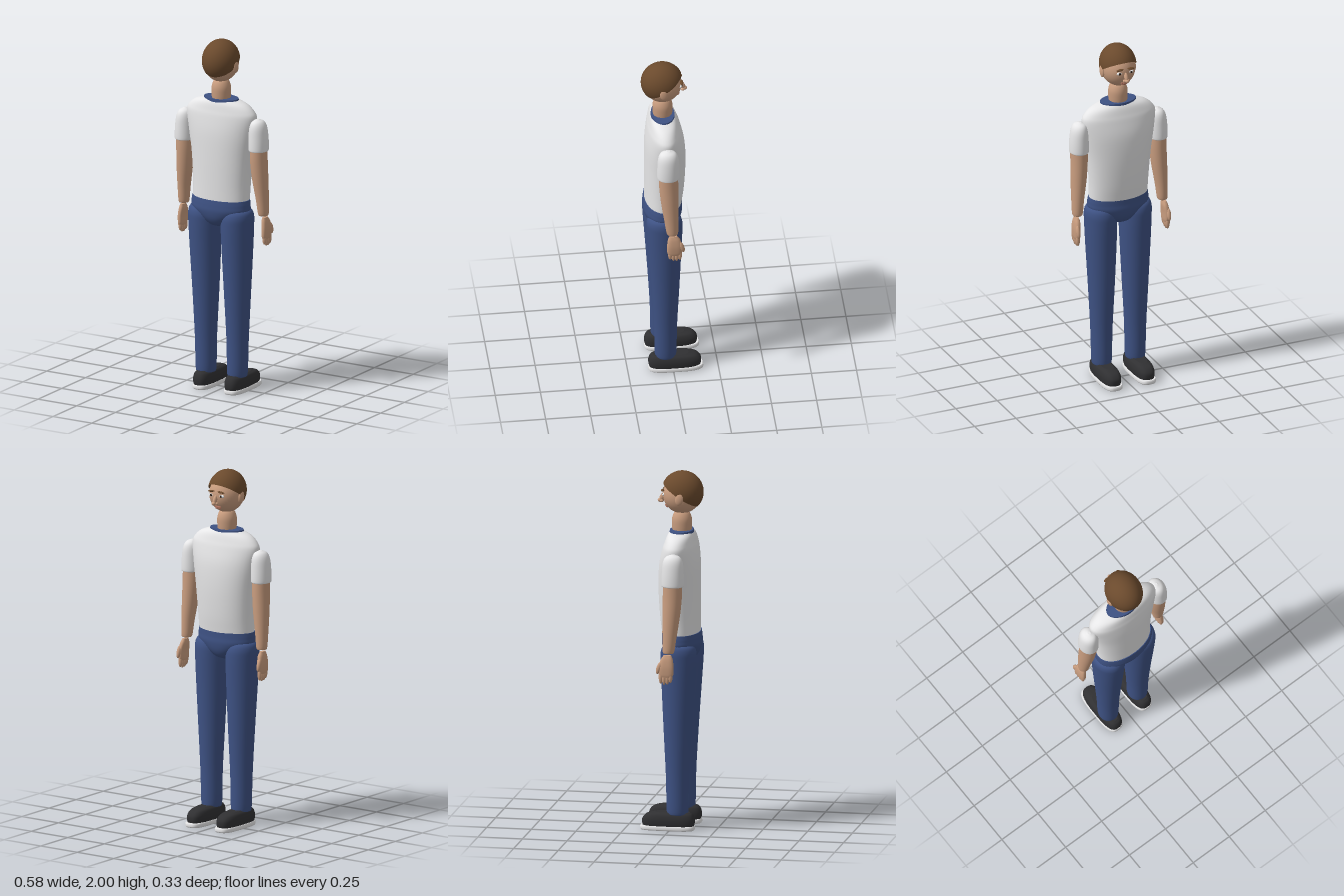
import * as THREE from 'three';

const mat = (name, color) => {
  const m = new THREE.MeshStandardMaterial({ color });
  m.name = name;
  return m;
};

// Smooth closed body through rings [y, centreX, centreZ, radiusX, radiusZ]; n > 2 squares the outline
function loft(rings, n = 2, steps = 5, seg = 40) {
  const spine = new THREE.CatmullRomCurve3(rings.map(r => new THREE.Vector3(r[0], r[1], r[2])), false, 'catmullrom');
  const radii = new THREE.CatmullRomCurve3(rings.map(r => new THREE.Vector3(r[3], r[4], 0)), false, 'catmullrom');
  const rows = (rings.length - 1) * steps;
  const pos = [], idx = [];
  const power = v => Math.sign(v) * Math.pow(Math.abs(v), 2 / n);
  const addRing = t => {
    const c = spine.getPoint(t), r = radii.getPoint(t);
    for (let j = 0; j < seg; j++) {
      const a = (j / seg) * Math.PI * 2;
      pos.push(c.y + Math.max(r.x, 0.001) * power(Math.cos(a)), c.x, c.z + Math.max(r.y, 0.001) * power(Math.sin(a)));
    }
    return c;
  };
  for (let i = 0; i <= rows; i++) addRing(i / rows);
  for (let i = 0; i < rows; i++) {
    for (let j = 0; j < seg; j++) {
      const k = (j + 1) % seg, a = i * seg, b = a + seg;
      idx.push(a + j, b + j, a + k, a + k, b + j, b + k);
    }
  }
  // Flat end caps with their own vertices
  for (const end of [0, 1]) {
    const base = pos.length / 3, c = addRing(end);
    pos.push(c.y, c.x, c.z);
    for (let j = 0; j < seg; j++) {
      const k = (j + 1) % seg;
      if (end) idx.push(base + seg, base + k, base + j);
      else idx.push(base + seg, base + j, base + k);
    }
  }
  const g = new THREE.BufferGeometry();
  g.setAttribute('position', new THREE.Float32BufferAttribute(pos, 3));
  g.setIndex(idx);
  g.computeVertexNormals();
  return g;
}

export function createModel() {
  const model = new THREE.Group();
  model.name = 'standingMan';
  const skin = mat('skin', 0xc99d7f);
  const hairBrown = mat('hair brown', 0x6b4a2d);
  const shirtWhite = mat('shirt white', 0xe9e9ea);
  const denim = mat('denim blue', 0x3e5284);
  const shoeBlack = mat('shoe black', 0x303032);
  const eyeWhite = mat('eye white', 0xf4f4f4);
  const eyeDark = mat('eye dark', 0x2b1d14);
  const lipTone = mat('lip', 0xab705c);

  const add = (parent, name, geo, material) => {
    const m = new THREE.Mesh(geo, material);
    m.name = name;
    parent.add(m);
    return m;
  };
  const ball = (parent, name, material, p, r, seg = 24) => {
    const m = add(parent, name, new THREE.SphereGeometry(1, seg, seg * 0.75), material);
    m.position.set(...p);
    m.scale.set(...r);
    return m;
  };
  const group = (name) => {
    const g = new THREE.Group();
    g.name = name;
    model.add(g);
    return g;
  };

  // Torso, collar and pelvis
  add(model, 'shirt', loft([
    [1.1, 0, 0.043, 0.17, 0.103], [1.2, 0, 0.037, 0.173, 0.109], [1.35, 0, 0.033, 0.185, 0.113],
    [1.48, 0, 0.034, 0.205, 0.109], [1.57, 0, 0.038, 0.218, 0.094], [1.61, 0, 0.04, 0.203, 0.083],
    [1.645, 0, 0.042, 0.16, 0.072], [1.668, 0, 0.044, 0.09, 0.058],
  ], 2.1), shirtWhite);
  add(model, 'collar', loft([[1.655, 0, 0.044, 0.108, 0.066], [1.671, 0, 0.044, 0.104, 0.064]], 2, 1), denim);
  add(model, 'pelvis', loft([
    [0.938, 0, 0.045, 0.02, 0.03], [0.955, 0, 0.045, 0.065, 0.072], [0.99, 0, 0.046, 0.12, 0.097],
    [1.035, 0, 0.047, 0.173, 0.108], [1.07, 0, 0.047, 0.177, 0.107], [1.102, 0, 0.045, 0.173, 0.105],
  ], 2.1), denim);

  // Neck and head
  add(model, 'neck', loft([
    [1.655, 0, 0.045, 0.05, 0.052], [1.69, 0, 0.045, 0.053, 0.055], [1.73, 0, 0.045, 0.053, 0.055],
    [1.76, 0, 0.045, 0.044, 0.046], [1.78, 0, 0.045, 0.03, 0.03],
  ]), skin);
  const head = group('head');
  ball(head, 'skull', skin, [0, 1.867, 0.045], [0.094, 0.105, 0.105], 40);
  const hair = add(head, 'hair', new THREE.SphereGeometry(1, 48, 28, 0, Math.PI * 2, 0, 1.72), hairBrown);
  hair.position.set(0, 1.883, 0.048);
  hair.scale.set(0.101, 0.117, 0.117);
  hair.rotation.x = 0.58;
  hairBrown.side = THREE.DoubleSide;

  // Face, looking toward -z
  const nose = ball(head, 'nose', skin, [0, 1.847, -0.066], [0.011, 0.029, 0.014]);
  nose.rotation.x = 0.4;
  ball(head, 'noseTip', skin, [0, 1.83, -0.077], [0.012, 0.011, 0.014]);
  for (const s of [-1, 1]) {
    ball(head, 'nostril', skin, [s * 0.011, 1.828, -0.066], [0.009, 0.008, 0.01]);
    ball(head, 'eye', eyeWhite, [s * 0.034, 1.87, -0.05], [0.016, 0.009, 0.009]);
    ball(head, 'iris', eyeDark, [s * 0.034, 1.87, -0.056], [0.007, 0.007, 0.005]);
    const brow = ball(head, 'eyebrow', hairBrown, [s * 0.033, 1.893, -0.056], [0.022, 0.005, 0.01]);
    brow.rotation.z = -s * 0.1;
    const ear = ball(head, 'ear', skin, [s * 0.095, 1.857, 0.048], [0.011, 0.035, 0.023]);
    ear.rotation.x = 0.2;
  }
  ball(head, 'upperLip', lipTone, [0, 1.806, -0.041], [0.023, 0.005, 0.008]);
  ball(head, 'lowerLip', lipTone, [0, 1.797, -0.036], [0.019, 0.006, 0.009]);

  for (const s of [-1, 1]) {
    const side = s > 0 ? 'left' : 'right';

    // Arm with short sleeve
    const arm = group(side + 'Arm');
    add(arm, 'sleeve', loft([
      [1.398, s * 0.238, 0.04, 0.05, 0.058], [1.408, s * 0.238, 0.04, 0.054, 0.062], [1.47, s * 0.237, 0.04, 0.053, 0.061],
      [1.53, s * 0.235, 0.04, 0.047, 0.056], [1.562, s * 0.233, 0.04, 0.033, 0.041], [1.576, s * 0.232, 0.04, 0.008, 0.01],
    ]), shirtWhite);
    add(arm, 'forearm', loft([
      [1.025, s * 0.256, 0.019, 0.02, 0.022], [1.035, s * 0.256, 0.02, 0.029, 0.032], [1.12, s * 0.252, 0.025, 0.035, 0.04],
      [1.24, s * 0.243, 0.033, 0.044, 0.049], [1.34, s * 0.238, 0.038, 0.047, 0.053], [1.42, s * 0.238, 0.04, 0.047, 0.053],
    ]), skin);

    // Hand, hanging just below the wrist
    const hand = group(side + 'Hand');
    add(hand, 'palm', loft([
      [0.893, s * 0.27, 0.01, 0.013, 0.032], [0.91, s * 0.27, 0.009, 0.016, 0.041], [0.95, s * 0.27, 0.009, 0.017, 0.042],
      [0.99, s * 0.266, 0.012, 0.016, 0.034], [1.015, s * 0.264, 0.016, 0.01, 0.022],
    ], 2.6), skin);
    for (let i = 0; i < 4; i++) {
      const drop = [0.006, 0, 0.002, 0.012][i];
      ball(hand, 'finger', skin, [s * 0.271, 0.888 + drop, -0.02 + i * 0.018], [0.012, 0.038, 0.012], 16);
    }
    const thumb = ball(hand, 'thumb', skin, [s * 0.274, 0.945, -0.03], [0.012, 0.036, 0.014], 16);
    thumb.rotation.x = 0.3;

    // Trouser leg
    add(model, side + 'Leg', loft([
      [0.093, s * 0.101, 0.04, 0.046, 0.05], [0.108, s * 0.101, 0.04, 0.056, 0.06], [0.3, s * 0.102, 0.04, 0.061, 0.064],
      [0.55, s * 0.102, 0.041, 0.073, 0.077], [0.8, s * 0.103, 0.044, 0.085, 0.091], [0.95, s * 0.104, 0.046, 0.09, 0.099],
      [1.01, s * 0.106, 0.047, 0.088, 0.097], [1.042, s * 0.11, 0.047, 0.07, 0.078], [1.055, s * 0.112, 0.047, 0.03, 0.035],
    ]), denim);

    // Shoe
    const shoe = group(side + 'Shoe');
    add(shoe, 'sole', loft([
      [0, s * 0.101, -0.016, 0.052, 0.147], [0.006, s * 0.101, -0.016, 0.056, 0.152],
      [0.018, s * 0.101, -0.016, 0.056, 0.152], [0.025, s * 0.101, -0.016, 0.053, 0.149],
    ], 3.2), shirtWhite);
    add(shoe, 'shoeUpper', loft([
      [0.02, s * 0.101, -0.011, 0.05, 0.141], [0.04, s * 0.101, -0.011, 0.054, 0.146], [0.065, s * 0.101, -0.01, 0.054, 0.144],
      [0.088, s * 0.101, -0.003, 0.047, 0.128], [0.1, s * 0.101, 0.012, 0.033, 0.098],
    ], 2.9), shoeBlack);
  }
  return model;
}
